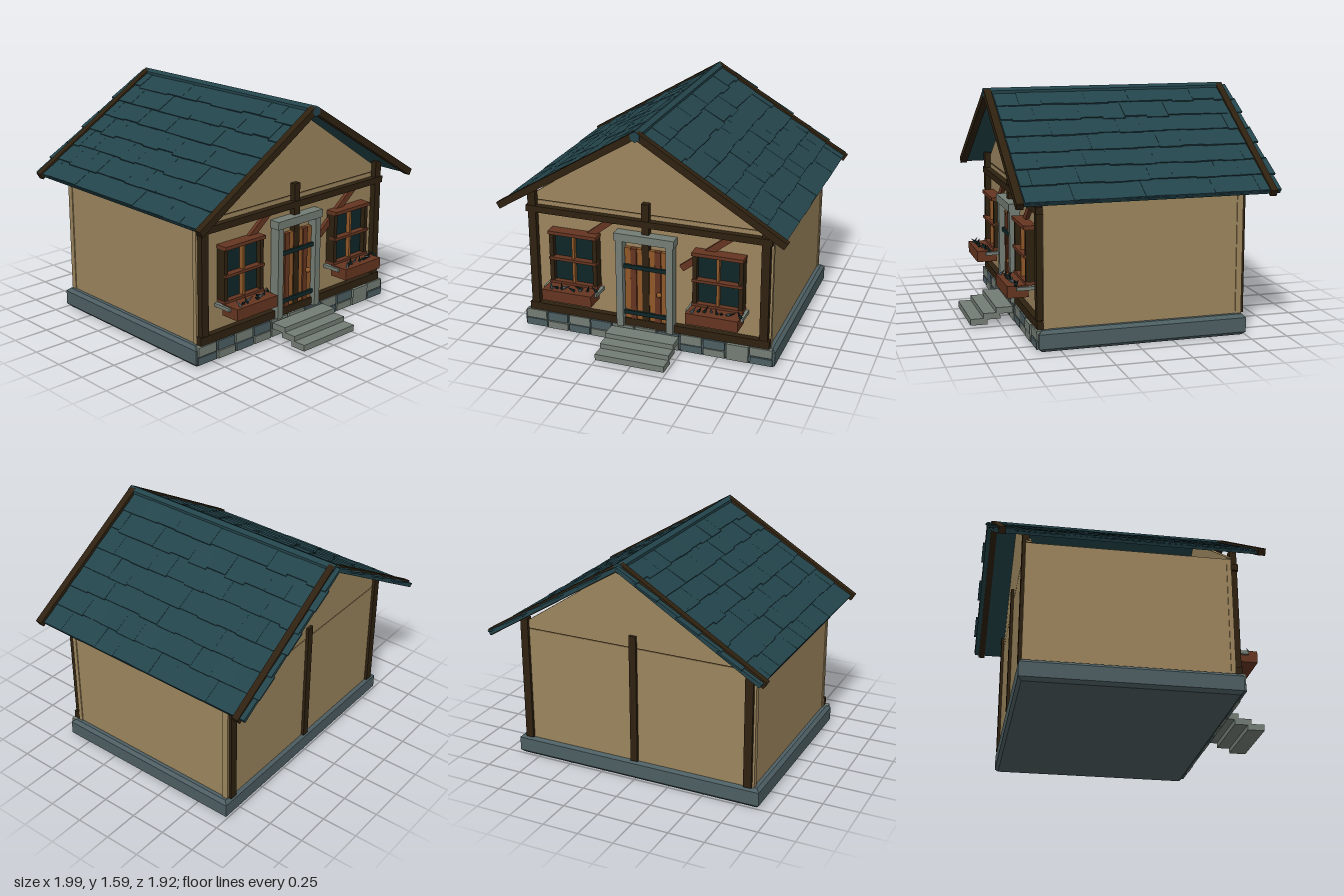
import * as THREE from 'three';

const mat = (name, color) => {
  const m = new THREE.MeshStandardMaterial({ color });
  m.name = name;
  return m;
};

export function createModel() {
  const plaster = mat('plaster', 0x9c855d);
  const darkTimber = mat('dark timber', 0x2e2110);
  const redWood = mat('red wood', 0x653521);
  const orangeWood = mat('orange wood', 0x8f5829);
  const roofTeal = mat('roof teal', 0x23444b);
  const glassDark = mat('dark glass', 0x0e2627);
  const stoneLight = mat('light stone', 0x737d74);
  const stoneBlue = mat('blue stone', 0x4d5e62);

  const house = new THREE.Group();
  house.name = 'cottage';
  let seed = 7;
  const rand = () => (seed = (seed * 16807) % 2147483647) / 2147483647;

  const add = (parent, name, geo, material, x = 0, y = 0, z = 0) => {
    const m = new THREE.Mesh(geo, material);
    m.name = name;
    m.position.set(x, y, z);
    parent.add(m);
    return m;
  };
  // box given by its limits on each axis
  const box = (name, material, x0, x1, y0, y1, z0, z1, parent = house) =>
    add(parent, name, new THREE.BoxGeometry(x1 - x0, y1 - y0, z1 - z0), material,
      (x0 + x1) / 2, (y0 + y1) / 2, (z0 + z1) / 2);

  // Foundation with chamfered edges
  const c = 0.022;
  const plan = new THREE.Shape([[-0.9, -0.645], [0.9, -0.645], [0.9, 0.75], [-0.9, 0.75]].map(
    ([x, y]) => new THREE.Vector2(x - Math.sign(x) * c, y - Math.sign(y) * c)));
  const baseGeo = new THREE.ExtrudeGeometry(plan, {
    depth: 0.14 - 2 * c, bevelEnabled: true, bevelSize: c, bevelThickness: c, bevelSegments: 1 });
  baseGeo.rotateX(-Math.PI / 2);
  add(house, 'foundation', baseGeo, stoneBlue, 0, c, 0);

  // Two rows of facing stones
  for (let row = 0; row < 2; row++) {
    for (let i = 0; i < 11; i++) {
      const x = -0.89 + i * 0.162;
      const y0 = row ? 0.076 : 0.02;
      box('facingStone', (i * 3 + row * 2) % 5 < 2 ? stoneBlue : stoneLight,
        x + 0.006 * rand(), x + 0.15 + 0.006 * rand(), y0, y0 + (row ? 0.06 : 0.048) + 0.008 * rand(),
        0.62, 0.655 + 0.012 * rand());
    }
  }

  // Walls, seam and gables
  box('walls', plaster, -0.853, 0.853, 0.13, 0.955, -0.69, 0.58);
  box('frontWall', plaster, -0.86, 0.86, 0.13, 0.95, 0.575, 0.605);
  box('backWall', plaster, -0.86, 0.86, 0.13, 0.95, -0.73, -0.69);
  const gable = new THREE.Shape();
  gable.moveTo(-0.86, 0).lineTo(0.86, 0).lineTo(0.86, 0.01).lineTo(0, 0.585).lineTo(-0.86, 0.01);
  for (const [z0, z1] of [[0.575, 0.605], [-0.73, -0.69]]) {
    box('gableSeam', darkTimber, -0.856, 0.856, 0.948, 0.959, z0 + 0.004, z1 - 0.004);
    add(house, 'gable', new THREE.ExtrudeGeometry(gable, { depth: z1 - z0, bevelEnabled: false }),
      plaster, 0, 0.957, z0);
  }

  // Timber frame
  for (const [z0, z1] of [[0.6, 0.645], [-0.75, -0.705]]) {
    for (const x of [-0.818, 0, 0.818]) {
      const w = x ? 0.028 : 0.025;
      box('post', darkTimber, x - w, x + w, 0.14, x ? 1.03 : 1.04, z0, z1);
    }
  }
  box('topRail', darkTimber, -0.86, 0.86, 0.875, 0.92, 0.6, 0.65);
  box('bottomRail', darkTimber, -0.86, 0.86, 0.14, 0.195, 0.6, 0.648);
  for (const x of [-0.415, 0.415]) {
    const brace = add(house, 'brace', new THREE.BoxGeometry(0.43, 0.045, 0.03), redWood, x, 0.75, 0.615);
    brace.rotation.z = 0.667;
  }

  // Roof: slabs, staggered shingles, rake boards, ridge
  const angle = Math.atan(0.614);
  const cos = Math.cos(angle);
  const sloped = (name, material, side, x0, x1, y, thick, z0, z1, tilt = 0) => {
    const xm = (x0 + x1) / 2;
    const m = add(house, name, new THREE.BoxGeometry((x1 - x0) / cos, thick, z1 - z0), material,
      side * xm, y - 0.614 * xm, (z0 + z1) / 2);
    m.rotation.z = -side * (angle - tilt);
  };
  for (const side of [-1, 1]) {
    sloped('roofSlab', roofTeal, side, 0, 0.965, 1.55, 0.02, -0.94, 0.75);
    for (let row = 0; row < 7; row++) {
      const odd = row % 2;
      const w = 0.154;
      for (let i = 0; i < 11 + odd; i++) {
        const z1 = Math.min(0.745, 0.745 - (i - odd * 0.5) * w);
        const z0 = Math.max(odd ? -0.957 : -0.943, 0.745 - (i + 1 - odd * 0.5) * w - 0.004);
        const x0 = row * 0.138;
        sloped('shingle', roofTeal, side, x0, x0 + 0.141 + (row < 6 ? 0.018 * rand() : 0.005 * rand()),
          1.564 + 0.004 * rand(), 0.011, z0, z1 - 0.003, 0.035 + 0.025 * rand());
      }
    }
    for (const [z0, z1] of [[0.752, 0.8], [-0.91, -0.865]]) {
      sloped('rakeBoard', darkTimber, side, 0, 0.985, 1.56, 0.047, z0, z1);
    }
  }
  const ridgeGeo = new THREE.CylinderGeometry(0.036, 0.036, 1.715, 6).toNonIndexed();
  ridgeGeo.computeVertexNormals();
  add(house, 'ridge', ridgeGeo, roofTeal, 0, 1.55, -0.055).rotation.x = Math.PI / 2;

  // Door with stone surround
  for (const s of [-1, 1]) {
    box('doorJamb', stoneLight, s * 0.177 - 0.024, s * 0.177 + 0.024, 0.14, 0.775, 0.6, 0.675);
  }
  box('lintel', stoneLight, -0.21, 0.21, 0.77, 0.825, 0.6, 0.682);
  box('doorBacking', darkTimber, -0.15, 0.15, 0.14, 0.705, 0.6, 0.615);
  for (let i = 0; i < 7; i++) {
    const x = -0.129 + i * 0.043;
    box('doorPlank', i % 2 ? redWood : orangeWood, x - 0.02, x + 0.02, 0.135, 0.712, 0.61, i % 2 ? 0.645 : 0.638);
  }
  for (const y of [0.243, 0.582]) box('hinge', glassDark, -0.153, 0.153, y - 0.014, y + 0.014, 0.63, 0.655);
  add(house, 'doorKnob', new THREE.SphereGeometry(0.018, 10, 8), orangeWood, 0.1, 0.41, 0.66);

  // Floating front steps
  for (let i = 0; i < 3; i++) {
    box('step', stoneLight, -0.243, 0.243, 0.017 + i * 0.034, 0.06 + i * 0.034, 0.845 - i * 0.088, 0.96 - i * 0.088);
  }

  // Windows with planters
  for (const x of [-0.51, 0.51]) {
    const win = new THREE.Group();
    win.name = 'window';
    win.position.x = x;
    house.add(win);
    box('glass', glassDark, -0.15, 0.15, 0.4, 0.76, 0.6, 0.64, win);
    for (const s of [-1, 1]) {
      box('windowSide', darkTimber, s * 0.157 - 0.015, s * 0.157 + 0.015, 0.39, 0.765, 0.6, 0.675, win);
    }
    box('windowHead', redWood, -0.175, 0.175, 0.748, 0.772, 0.6, 0.69, win);
    box('windowFoot', redWood, -0.175, 0.175, 0.385, 0.405, 0.6, 0.68, win);
    box('crossBar', redWood, -0.172, 0.172, 0.563, 0.582, 0.635, 0.688, win);
    box('uprightBar', orangeWood, -0.009, 0.009, 0.4, 0.75, 0.635, 0.67, win);
    box('sill', stoneLight, -0.195, 0.195, 0.358, 0.381, 0.605, 0.74, win);
    box('planter', redWood, -0.178, 0.178, 0.31, 0.388, 0.66, 0.8, win);
    for (let i = 0; i < 9; i++) {
      const leaf = add(win, 'leaf', new THREE.ConeGeometry(0.012, 0.06, 4), i % 3 ? glassDark : stoneBlue,
        -0.13 + i * 0.037, 0.407, 0.715 + 0.06 * rand());
      leaf.rotation.set(rand() * 2 - 0.8, 0, rand() * 2.2 - 1.2);
    }
  }
  return house;
}
